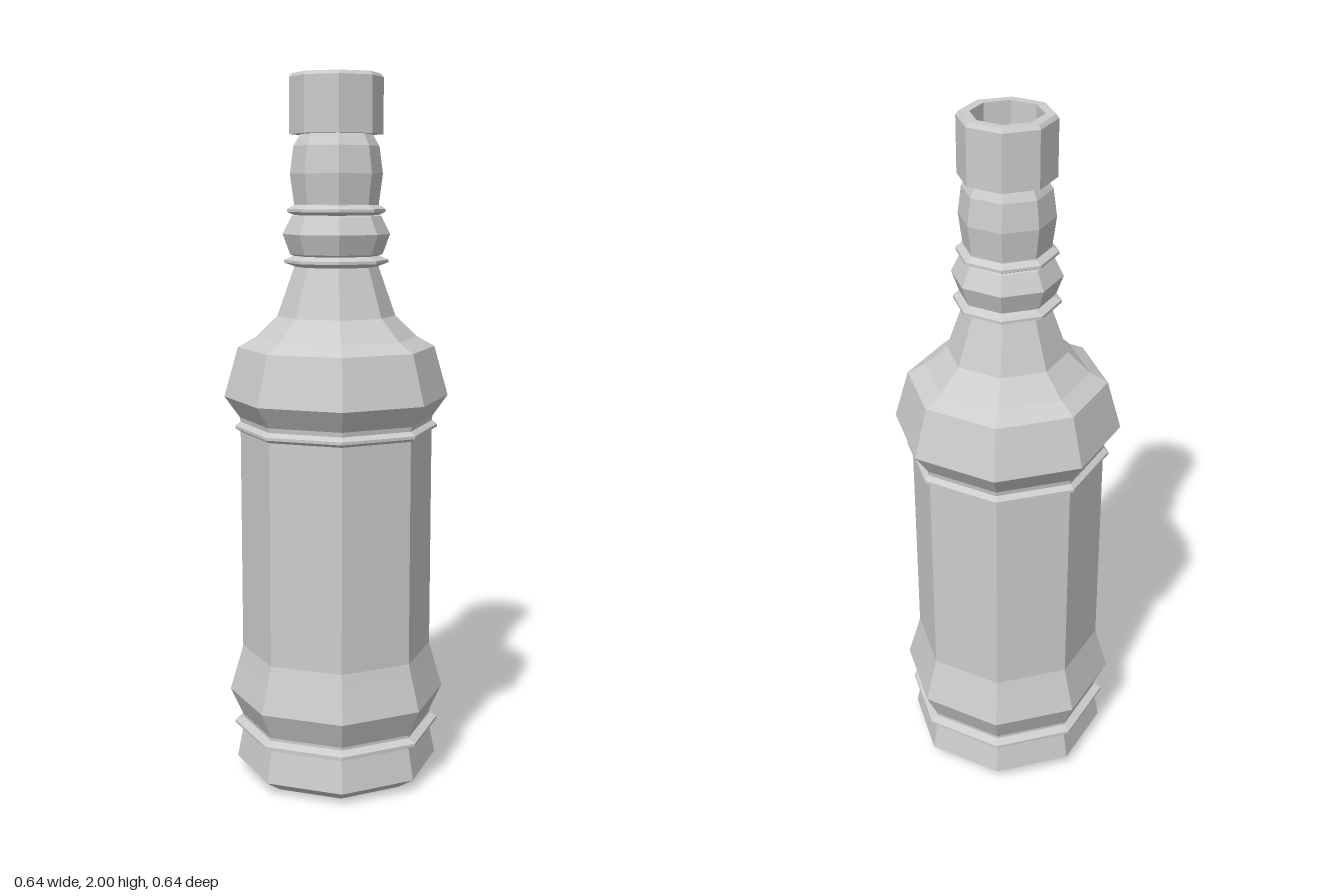
import * as THREE from 'three';

const SIDES = 8;

// Revolve a [radius, height] profile (bottom to top) into a faceted part
function turned(name, profile) {
  const points = profile.map(([r, y]) => new THREE.Vector2(r, y));
  const material = new THREE.MeshStandardMaterial({ color: 0xcccccc, flatShading: true });
  const mesh = new THREE.Mesh(new THREE.LatheGeometry(points, SIDES), material);
  mesh.name = name;
  return mesh;
}

// Thin raised ring as part of a profile
const bead = (r, y, out) => [[r, y - 0.013], [out, y - 0.004], [out, y + 0.004], [r, y + 0.015]];

export function createModel() {
  const bottle = new THREE.Group();
  bottle.name = 'bottle';

  // Foot with chamfered base and bead
  bottle.add(turned('base', [
    [0, 0], [0.24, 0], [0.292, 0.035], [0.275, 0.125],
    ...bead(0.275, 0.142, 0.298), [0.275, 0.165],
  ]));

  // Flared lower band, straight wall, bead and flared upper band
  bottle.add(turned('body', [
    [0.275, 0.165], [0.311, 0.243], [0.284, 0.335], [0.273, 0.375], [0.273, 1.008],
    ...bead(0.273, 1.022, 0.288), [0.275, 1.05], [0.318, 1.11], [0.278, 1.25],
  ]));

  // Shoulder rising to the beaded neck
  bottle.add(turned('neck', [
    [0.278, 1.25], [0.228, 1.278], [0.166, 1.338], [0.118, 1.475],
    ...bead(0.12, 1.49, 0.146), [0.13, 1.51], [0.15, 1.565], [0.125, 1.615],
    ...bead(0.118, 1.63, 0.137), [0.118, 1.648], [0.129, 1.73], [0.119, 1.805], [0.1, 1.837],
  ]));

  // Collar around the open mouth, with a recessed floor
  bottle.add(turned('mouthCollar', [
    [0, 1.837], [0.13, 1.837], [0.13, 1.99], [0.122, 2], [0.095, 2], [0.095, 1.845], [0, 1.845],
  ]));

  return bottle;
}
